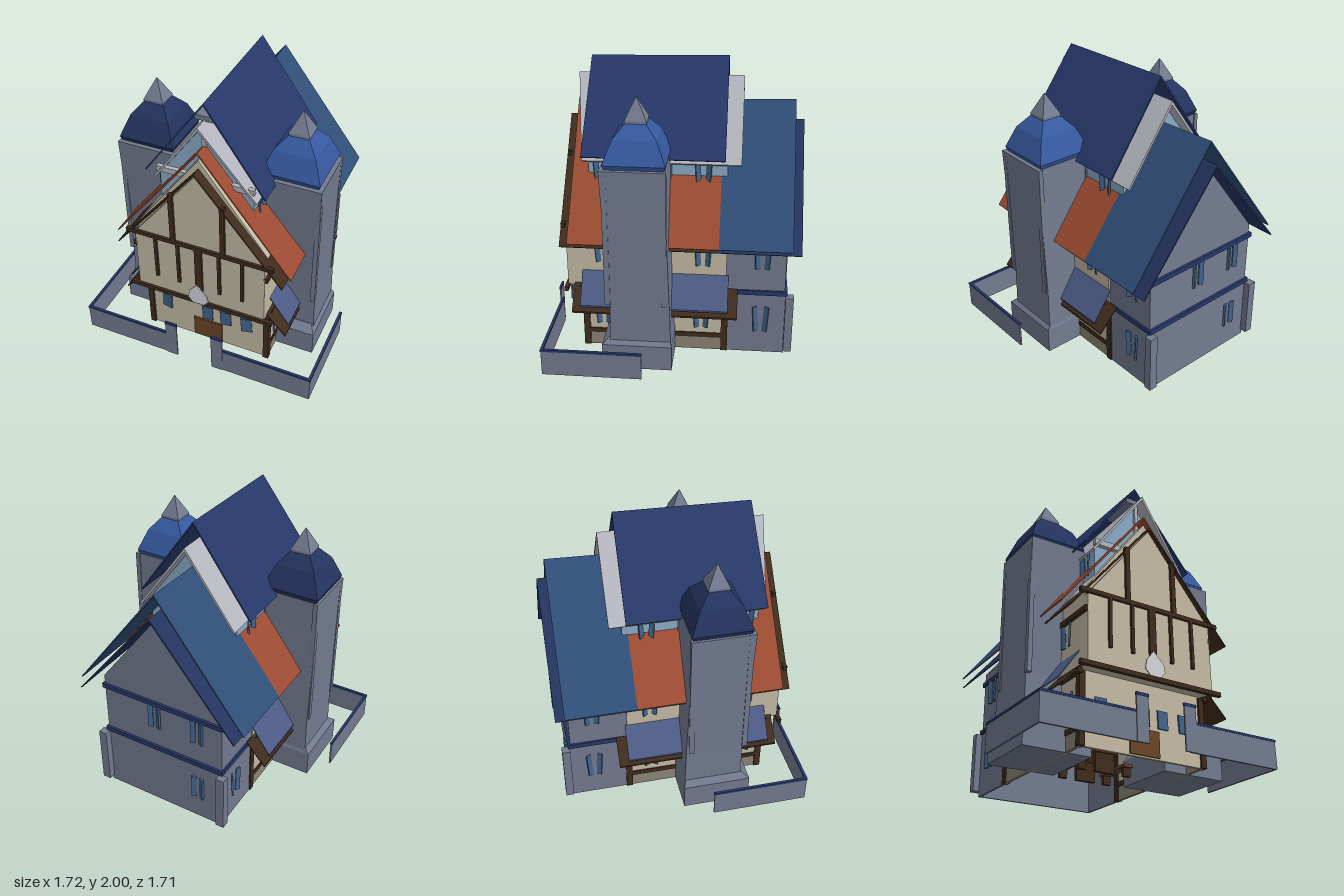
import * as THREE from 'three';

const C = {
  slate: 0x737b90, navy: 0x27386a, bright: 0x36599f, darkNavy: 0x24345f, backRoof: 0x304e78, awning: 0x4d5c86,
  orange: 0x9c4b32, brown: 0x3f2c1d, cream: 0xc4bba5, plinth: 0x8d8476, sky: 0x8bacc8, pale: 0xb5b7c0, glass: 0x41648c,
};
const CX = 0.01; // the ridge line sits slightly to one side
const mats = {};
const mat = (c) => mats[c] ??= new THREE.MeshStandardMaterial({ color: c, flatShading: true, side: THREE.DoubleSide });

function add(parent, name, geo, color) {
  const m = new THREE.Mesh(geo, mat(color));
  m.name = name;
  parent.add(m);
  return m;
}

// box given by its limits on each axis
function box(parent, name, color, x0, x1, y0, y1, z0, z1) {
  const m = add(parent, name, new THREE.BoxGeometry(x1 - x0, y1 - y0, z1 - z0), color);
  m.position.set((x0 + x1) / 2, (y0 + y1) / 2, (z0 + z1) / 2);
  return m;
}

const poly = (pts) => new THREE.Shape(pts.map((p) => new THREE.Vector2(p[0], p[1])));

function prism(parent, name, color, shape, z0, z1) {
  const geo = new THREE.ExtrudeGeometry(shape, { depth: z1 - z0, bevelEnabled: false });
  geo.translate(0, 0, z0);
  return add(parent, name, geo, color);
}

// folded roof sheet; lean moves the front of the ridge along z, drop lowers the front
function roof(parent, name, color, hw, eave, apex, z0, z1, t = 0.01, lean = 0, drop = 0) {
  const s = poly([[CX - hw, eave], [CX, apex], [CX + hw, eave], [CX + hw - t * 0.6, eave - t * 0.6],
    [CX, apex - t * 1.6], [CX - hw + t * 0.6, eave - t * 0.6]]);
  const m = prism(parent, name, color, s, z0, z1);
  const p = m.geometry.attributes.position;
  for (let i = 0; i < p.count; i++) {
    if (p.getZ(i) < (z0 + z1) / 2) continue;
    const k = (p.getY(i) - eave) / (apex - eave);
    p.setZ(i, p.getZ(i) + lean * k);
    p.setY(i, p.getY(i) - drop * k);
  }
  m.geometry.computeVertexNormals();
}

// house body with a pointed gable
const gableShape = (hw, y0, shoulder, apex) => poly([[CX - hw, y0], [CX + hw, y0], [CX + hw, shoulder], [CX, apex], [CX - hw, shoulder]]);

// square loft through levels of [y, half width, centre z]
function squareLoft(levels) {
  const pos = [], idx = [];
  for (const [y, h, cz] of levels) pos.push(-h, y, cz + h, h, y, cz + h, h, y, cz - h, -h, y, cz - h);
  for (let l = 0; l < levels.length - 1; l++) {
    for (let k = 0; k < 4; k++) {
      const a = l * 4 + k, b = l * 4 + (k + 1) % 4;
      idx.push(a, b, b + 4, a, b + 4, a + 4);
    }
  }
  const t = (levels.length - 1) * 4;
  idx.push(0, 2, 1, 0, 3, 2, t, t + 1, t + 2, t, t + 2, t + 3);
  const g = new THREE.BufferGeometry();
  g.setAttribute('position', new THREE.Float32BufferAttribute(pos, 3));
  g.setIndex(idx);
  const flat = g.toNonIndexed();
  flat.computeVertexNormals();
  return flat;
}

function tower(parent, name, x, roofX, color) {
  const g = new THREE.Group();
  g.name = name;
  add(g, 'towerBase', squareLoft([[0, 0.235, 0.215], [0.18, 0.235, 0.215], [0.23, 0.2, 0.195]]), C.slate).position.x = roofX;
  add(g, 'towerShaft', squareLoft([[0.2, 0.203, 0.19], [0.48, 0.198, 0.193], [1.2, 0.203, 0.222], [1.43, 0.206, 0.228]]), C.slate).position.x = x;
  // raised strips at the shaft corners
  for (const sx of [-1, 1]) for (const z of [0.03, 0.405]) {
    box(g, 'cornerStrip', C.slate, x + sx * 0.19 - 0.016, x + sx * 0.19 + 0.016, 0.48, 1.43, z - 0.018, z + 0.018);
  }
  add(g, 'towerRoof', squareLoft([[1.42, 0.185, 0.215], [1.46, 0.2, 0.215], [1.61, 0.14, 0.215], [1.7, 0.065, 0.215]]), color).position.x = roofX;
  add(g, 'finial', squareLoft([[1.69, 0.07, 0.215], [1.71, 0.07, 0.215], [1.85, 0.002, 0.215]]), C.slate).position.x = roofX;
  parent.add(g);
}

// a slightly crooked pair of shutters on a side wall
function sideWindow(parent, side, x, y, z, h) {
  for (const d of [-1, 1]) {
    const m = add(parent, 'shutter', new THREE.BoxGeometry(0.012, h, 0.035), C.glass);
    m.position.set(CX + side * x, y, z + d * 0.035);
    m.rotation.set(d * 0.06, side * d * 0.5, 0);
  }
}

export function createModel() {
  const model = new THREE.Group();
  model.name = 'timberHouse';

  // ground floor front wall, with a door and windows
  box(model, 'groundFrontWall', C.cream, -0.42, 0.47, 0, 0.48, 0.59, 0.61);
  box(model, 'door', 0x6b4526, -0.1, 0.12, 0.01, 0.18, 0.61, 0.62);
  for (const x of [-0.31, 0.01, 0.15, 0.31]) {
    const s = box(model, 'frontWindow', C.glass, x - 0.04, x + 0.04, 0.2, 0.32, 0.612, 0.622);
    s.rotation.set(0, x * 0.5, x * 0.2);
  }
  for (const s of [-1, 1]) {
    const x = CX + s * 0.45;
    box(model, 'groundSideWall', C.cream, x - 0.01, x + 0.01, 0.11, 0.48, -0.37, 0.6);
    box(model, 'plinth', C.plinth, x - 0.01, x + 0.01, 0, 0.11, -0.37, 0.6);
    box(model, 'sideRail', C.brown, x - 0.018, x + 0.018, 0.1, 0.135, -0.36, 0.6);
    for (const z of [0.6, -0.365]) box(model, 'cornerPost', C.brown, x - 0.02, x + 0.02, 0, 0.47, z - 0.02, z + 0.025);
    // awnings along the sides
    for (const [name, color, y0, y1, z0, z1] of [['awning', C.awning, 0.4, 0.6, -0.385, 0.615], ['awningUnderside', C.brown, 0.35, 0.5, -0.45, 0.675]]) {
      const top = [CX + s * 0.47, y1], low = [CX + s * 0.61, y0];
      prism(model, name, color, poly([top, low, [low[0], y0 - 0.012], [top[0], y1 - 0.012]]), z0, z1);
    }
    for (const z of [-0.2, 0.48]) {
      sideWindow(model, s, 0.465, 0.27, z, 0.18);
      sideWindow(model, s, 0.475, 0.75, z - 0.01, 0.16);
      sideWindow(model, s, 0.345, 1.29, z, 0.15);
    }
    sideWindow(model, s, 0.47, 0.27, -0.61, 0.19);
    sideWindow(model, s, 0.47, 0.75, -0.61, 0.18);
  }
  // rear windows
  for (const [x, y] of [[-0.27, 0.27], [-0.27, 0.75], [0.06, 0.75]]) for (const d of [-0.03, 0.03]) {
    box(model, 'rearShutter', C.glass, x + d - 0.017, x + d + 0.017, y - 0.09, y + 0.09, -0.795, -0.78).rotation.y = d * 15;
  }

  // overhanging upper floor
  prism(model, 'upperFloor', C.cream, gableShape(0.47, 0.48, 1.0, 1.63), -0.37, 0.67);
  prism(model, 'frontGable', C.cream, gableShape(0.47, 0.48, 0.95, 1.545), 0.67, 0.72);

  // front timber framing
  const beam = (x0, x1, y0, y1) => box(model, 'frontBeam', C.brown, x0, x1, y0, y1, 0.71, 0.737);
  beam(-0.52, 0.54, 0.945, 0.975);
  beam(-0.52, 0.54, 0.46, 0.49);
  for (const x of [-0.17, 0.19]) beam(x - 0.017, x + 0.017, 0.97, 1.36);
  for (const x of [-0.305, -0.14, 0.16, 0.325]) beam(x - 0.011, x + 0.011, 0.61, 0.95);
  beam(-0.015, 0.037, 0.48, 0.95);
  for (const y of [0.465, 0.845]) for (const s of [-1, 1]) {
    box(model, 'sideBeam', C.brown, CX + s * 0.475 - 0.015, CX + s * 0.475 + 0.015, y - 0.018, y + 0.018, -0.36, y < 0.6 ? 0.64 : 0.72);
  }

  // hanging shield sign
  prism(model, 'sign', 0xd5d6da, poly([[0, 0.65], [0.075, 0.57], [0.085, 0.52], [0.05, 0.48], [-0.03, 0.48], [-0.065, 0.52], [-0.055, 0.58]]), 0.745, 0.753);

  // stone rear block
  prism(model, 'rearUpper', C.slate, gableShape(0.46, 0.48, 0.93, 1.53), -0.77, -0.37);
  const rearWalls = [[CX - 0.46, CX + 0.46, -0.78, -0.765], [CX - 0.46, CX - 0.445, -0.78, -0.37], [CX + 0.445, CX + 0.46, -0.78, -0.37]];
  for (const [x0, x1, z0, z1] of rearWalls) box(model, 'rearGroundWall', C.slate, x0, x1, 0, 0.49, z0, z1);
  for (const y of [0.475, 0.85]) box(model, 'rearBand', C.navy, CX - 0.472, CX + 0.472, y - 0.017, y + 0.017, -0.787, -0.36);
  for (const s of [-1, 1]) {
    box(model, 'rearButtress', C.slate, CX + s * 0.475 - 0.03, CX + s * 0.475 + 0.03, 0.04, 0.46, -0.83, -0.775);
  }

  // lower roofs, each with a lining that sticks out at the gable
  roof(model, 'frontRoofLining', C.brown, 0.6, 0.835, 1.57, -0.3, 0.74);
  roof(model, 'frontRoof', C.orange, 0.635, 0.875, 1.69, -0.32, 0.68);
  roof(model, 'rearRoofLining', C.darkNavy, 0.6, 0.835, 1.57, -0.86, -0.3);
  roof(model, 'rearRoof', C.backRoof, 0.635, 0.875, 1.71, -0.8, -0.32, 0.01, 0, 0.015);

  // raised attic
  prism(model, 'attic', C.sky, gableShape(0.33, 1.0, 1.38, 1.83), -0.36, 0.57);
  box(model, 'atticSill', C.pale, -0.33, 0.35, 1.41, 1.45, 0.57, 0.6);
  box(model, 'atticPost', C.pale, CX - 0.012, CX + 0.012, 1.45, 1.83, 0.57, 0.59);
  box(model, 'ridgeEnd', C.slate, CX - 0.065, CX + 0.065, 1.855, 1.89, 0.3, 0.57);
  roof(model, 'atticRoofLining', C.pale, 0.365, 1.36, 1.865, -0.45, 0.61, 0.018, 0.06);
  roof(model, 'atticRoof', C.navy, 0.42, 1.405, 2.0, -0.345, 0.605, 0.012, -0.025, 0.017);

  // corner towers
  tower(model, 'rightTower', -0.503, -0.503, C.darkNavy);
  tower(model, 'leftTower', 0.526, 0.515, C.bright);

  // garden wall with caps and gate posts
  const walls = [[-0.84, -0.16, 0.832, 0.845], [0.18, 0.862, 0.832, 0.845], [-0.842, -0.83, 0.17, 0.845], [0.855, 0.868, 0.17, 0.845]];
  for (const [x0, x1, z0, z1] of walls) {
    box(model, 'gardenWall', C.slate, x0, x1, 0, 0.18, z0, z1);
    box(model, 'wallCap', C.navy, x0 - 0.003, x1 + 0.003, 0.18, 0.195, z0 - 0.003, z1 + 0.003);
  }
  for (const x of [-0.165, 0.185]) {
    box(model, 'gatePost', C.slate, x - 0.043, x + 0.043, 0, 0.285, 0.84, 0.85);
    box(model, 'postCap', C.navy, x - 0.045, x + 0.045, 0.285, 0.305, 0.838, 0.852);
  }

  // table and benches inside
  const furniture = new THREE.Group();
  furniture.name = 'furniture';
  for (const [x, w, h] of [[0, 0.09, 0.16], [-0.17, 0.035, 0.09], [0.17, 0.035, 0.09]]) {
    box(furniture, 'woodenTop', 0x6b4526, x - w, x + w, h - 0.02, h, -0.1, 0.2);
    for (const z of [-0.07, 0.17]) box(furniture, 'woodenLeg', C.brown, x - w * 0.8, x + w * 0.8, 0.01, h - 0.02, z - 0.012, z + 0.012);
  }
  model.add(furniture);
  return model;
}
